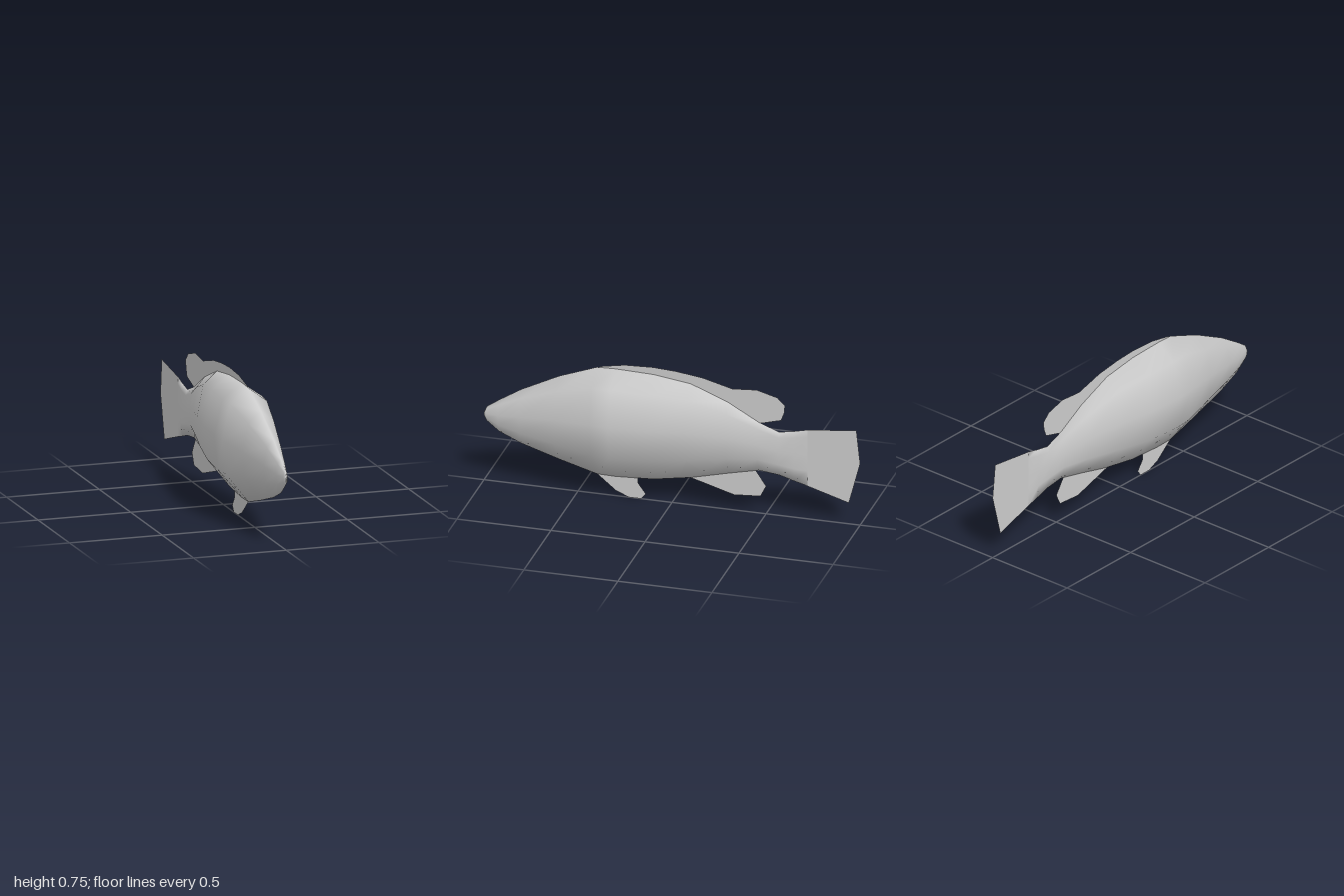
import * as THREE from 'three';

// Body stations from nose to tail root: z, top, bottom, half width
const STATIONS = [
  [1.0, 0.385, 0.37, 0.003], [0.985, 0.42, 0.34, 0.012], [0.92, 0.465, 0.288, 0.028],
  [0.8, 0.54, 0.235, 0.055], [0.6, 0.64, 0.172, 0.1], [0.4, 0.715, 0.115, 0.142],
  [0.3, 0.718, 0.113, 0.152], [0.1, 0.712, 0.123, 0.141], [-0.1, 0.685, 0.158, 0.108],
  [-0.3, 0.605, 0.208, 0.062], [-0.46, 0.515, 0.245, 0.026], [-0.57, 0.474, 0.232, 0.015],
  [-0.65, 0.488, 0.208, 0.012], [-0.72, 0.505, 0.19, 0.001],
];
// Eight-sided cross-section: share of half width, share of height
const SECTION = [[0, 1], [0.7, 0.875], [1, 0.56], [0.86, 0.26], [0, 0], [-0.86, 0.26], [-1, 0.56], [-0.7, 0.875]];

// Flat fin outlines as [z, y]
const FINS = {
  dorsalFin: [[0.41, 0.7], [0.38, 0.722], [0.25, 0.746], [0.1, 0.752], [-0.02, 0.745], [-0.16, 0.727],
    [-0.32, 0.685], [-0.45, 0.695], [-0.56, 0.665], [-0.6, 0.625], [-0.597, 0.585], [-0.58, 0.54],
    [-0.47, 0.51], [-0.44, 0.515], [-0.28, 0.59], [-0.1, 0.66], [0.1, 0.69]],
  tailFin: [[-0.71, 0.503], [-0.98, 0.535], [-1, 0.35], [-0.94, 0.122], [-0.71, 0.192]],
  pelvicFin: [[0.4, 0.117], [0.3, 0.035], [0.23, 0.005], [0.165, 0.005], [0.14, 0.035], [0.18, 0.09], [0.18, 0.14]],
  analFin: [[-0.09, 0.16], [-0.33, 0.09], [-0.47, 0.1], [-0.5, 0.16], [-0.44, 0.25], [-0.3, 0.215]],
};

function bodyGeometry() {
  const n = SECTION.length, positions = [], index = [];
  for (const [z, top, bottom, w] of STATIONS)
    for (const [sx, sy] of SECTION) positions.push(sx * w, bottom + (top - bottom) * sy, z);
  for (let i = 0; i < STATIONS.length - 1; i++)
    for (let j = 0; j < n; j++) {
      const a = i * n + j, b = i * n + (j + 1) % n;
      index.push(a, b, a + n, b, b + n, a + n);
    }
  // Nose cap
  for (let j = 1; j < n - 1; j++) index.push(0, j + 1, j);
  const geometry = new THREE.BufferGeometry();
  geometry.setAttribute('position', new THREE.Float32BufferAttribute(positions, 3));
  geometry.setIndex(index);
  geometry.computeVertexNormals();
  return geometry;
}

function finGeometry(points) {
  const shape = new THREE.Shape(points.map(([z, y]) => new THREE.Vector2(-z, y)));
  return new THREE.ShapeGeometry(shape).rotateY(Math.PI / 2);
}

export function createModel() {
  const fish = new THREE.Group();
  fish.name = 'fish';
  const grey = new THREE.MeshStandardMaterial({ color: 0xcccccc, side: THREE.DoubleSide });
  grey.name = 'light grey';

  const add = (name, geometry) => {
    const mesh = new THREE.Mesh(geometry, grey);
    mesh.name = name;
    fish.add(mesh);
  };
  add('body', bodyGeometry());
  for (const [name, points] of Object.entries(FINS)) add(name, finGeometry(points));
  return fish;
}
